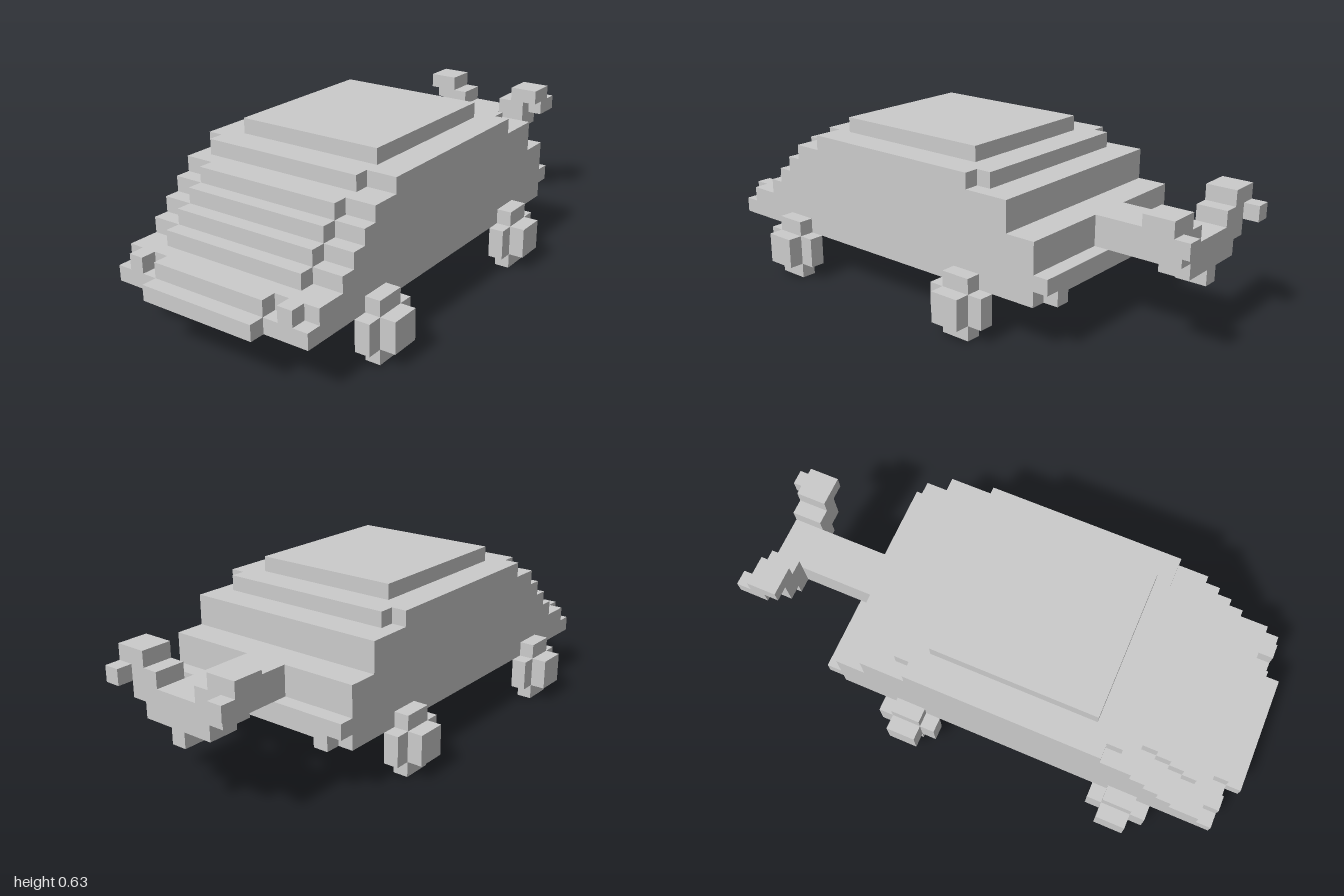
import * as THREE from 'three';

// One cell of the block grid; depth cells are counted from the front end.
const U = 2 / 35;
const material = new THREE.MeshStandardMaterial({ color: 0xcccccc, flatShading: true });

// Box between cell bounds: x0..x1, y0..y1 and depth k0..k1 (front to back).
function block(parent, name, x0, x1, y0, y1, k0, k1) {
  const geo = new THREE.BoxGeometry((x1 - x0) * U, (y1 - y0) * U, (k1 - k0) * U);
  const mesh = new THREE.Mesh(geo, material);
  mesh.position.set((x0 + x1) / 2 * U, (y0 + y1) / 2 * U, 1 - (k0 + k1) / 2 * U);
  mesh.name = name;
  parent.add(mesh);
}

function part(root, name) {
  const g = new THREE.Group();
  g.name = name;
  root.add(g);
  return g;
}

export function createModel() {
  const root = new THREE.Group();
  root.name = 'blockCar';

  // Lower body with bumpers and lamps
  const body = part(root, 'body');
  block(body, 'floor', -7, 7, 3, 4, 1, 27);
  block(body, 'frontBumper', -4, 4, 3, 4, 0, 1);
  block(body, 'lowerBody', -7, 7, 4, 5, 2, 28);
  block(body, 'grille', -4, 4, 4, 5, 1, 2);
  for (const x of [-6, 5]) {
    block(body, 'headlight', x, x + 1, 4, 5, 1, 2);
    block(body, 'rearLamp', x, x + 1, 3, 4, 27, 28);
  }

  // Stepped bonnet and windscreen, with the middle one cell ahead of the sides
  const cabin = part(root, 'cabin');
  for (let i = 0; i < 4; i++) {
    const y = 5 + i;
    block(cabin, 'cabinLayer', -7, 7, y, y + 1, 4 + i, y < 7 ? 27 : 25);
    block(cabin, 'windscreenStep', -5, 5, y, y + 1, 3 + i, 4 + i);
  }

  // Roof layers
  block(cabin, 'roofBase', -7, 7, 9, 10, 9, 22);
  block(cabin, 'roofFrontEdge', -6, 5, 9, 10, 8, 9);
  block(cabin, 'roofRearEdge', -6, 6, 9, 10, 22, 23);
  block(cabin, 'roofPanel', -5, 5, 10, 11, 10, 21);

  // Wheels: a cross-shaped disc with a hub outside it
  for (const k of [5, 20]) {
    for (const side of [-1, 1]) {
      const wheel = part(root, k === 5 ? 'frontWheel' : 'rearWheel');
      const cell = (name, a, b, ...rest) =>
        block(wheel, name, Math.min(a * side, b * side), Math.max(a * side, b * side), ...rest);
      cell('wheelMiddle', 7, 8, 0, 4, k + 1, k + 3);
      cell('wheelFront', 7, 8, 1, 3, k, k + 1);
      cell('wheelBack', 7, 8, 1, 3, k + 3, k + 4);
      cell('hub', 8, 9, 1, 3, k + 1, k + 3);
    }
  }

  // Tail boom and stepped V-shaped fork, centred on x = -0.5 cells
  const tail = part(root, 'tail');
  block(tail, 'boom', -2, 1, 5, 7, 27, 34);
  block(tail, 'forkBase', -1, 0, 4, 5, 32, 34);
  for (const side of [-1, 1]) {
    const cell = (name, a, b, ...rest) => {
      const p = -0.5 + a * side, q = -0.5 + b * side;
      block(tail, name, Math.min(p, q), Math.max(p, q), ...rest);
    };
    cell('forkArm', 1.5, 2.5, 5, 8, 32, 34);
    cell('forkShoulder', 2.5, 3.5, 6, 9, 32, 34);
    cell('forkTip', 3.5, 4.5, 8, 9, 32, 34);
    cell('forkProng', 3.5, 4.5, 7, 8, 33, 35);
  }
  return root;
}
